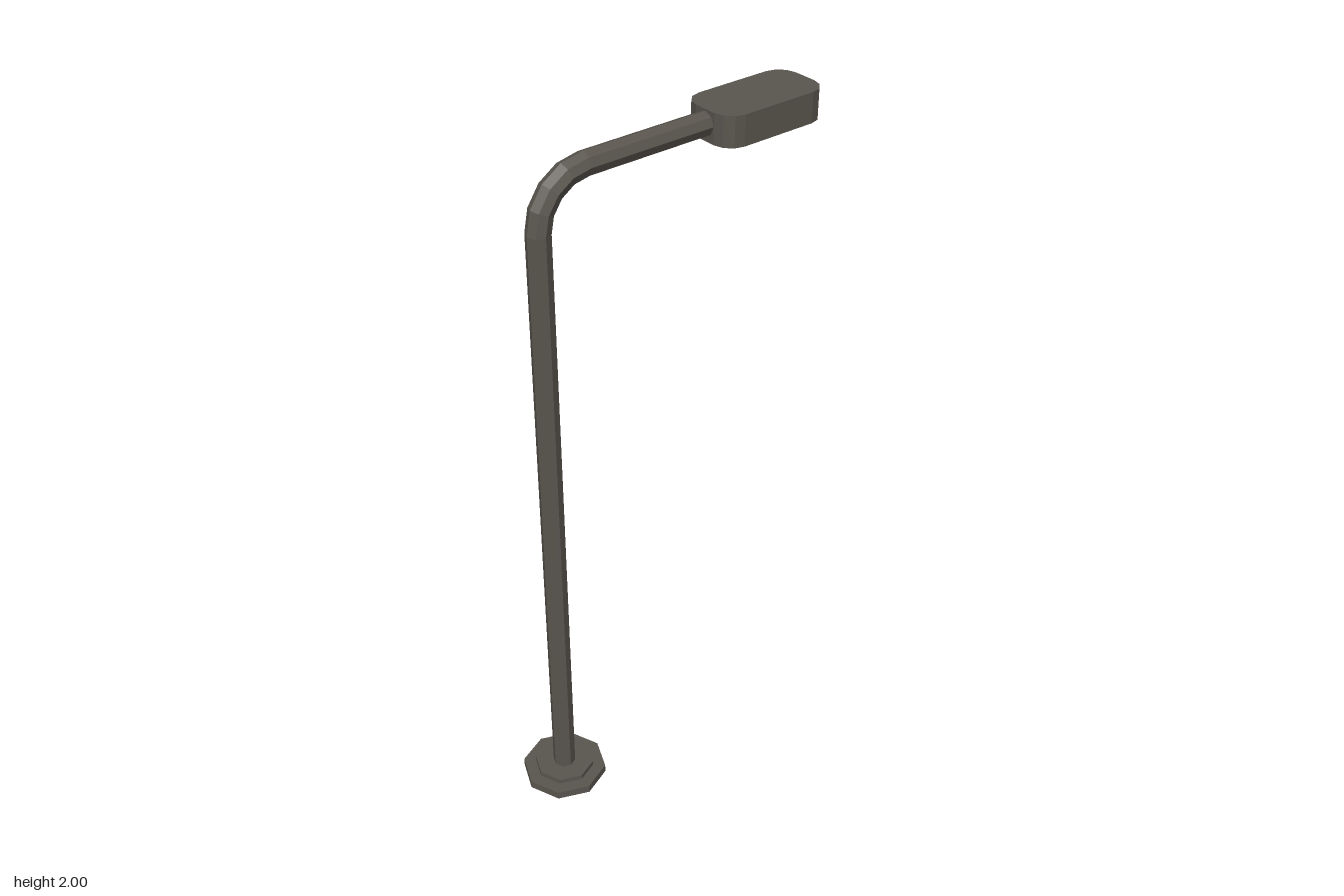
import * as THREE from 'three';

const metal = new THREE.MeshStandardMaterial({ color: 0x5a564f, flatShading: true });
const glow = new THREE.MeshStandardMaterial({ color: 0xe6d878, flatShading: true });

const POLE_Z = 0.365, POLE_R = 0.033, BEND_R = 0.14, ARM_Y = 1.962;

export function createModel() {
  const group = new THREE.Group();
  const add = (name, geometry, material = metal) => {
    const mesh = new THREE.Mesh(geometry, material);
    mesh.name = name;
    group.add(mesh);
    return mesh;
  };
  // Eight-sided upright post from y0 to y1
  const post = (name, r, y0, y1) =>
    add(name, new THREE.CylinderGeometry(r, r, y1 - y0, 8)).position.set(0, (y0 + y1) / 2, POLE_Z);

  // Stepped foot and pole
  post('basePlate', 0.125, 0, 0.025);
  post('baseCollar', 0.088, 0.025, 0.04);
  post('pole', POLE_R, 0.04, ARM_Y - BEND_R);

  // Quarter bend from the pole into the arm
  const bend = add('bend', new THREE.TorusGeometry(BEND_R, POLE_R, 8, 4, Math.PI / 2));
  bend.rotation.y = -Math.PI / 2;
  bend.position.set(0, ARM_Y - BEND_R, POLE_Z - BEND_R);

  // Horizontal arm reaching into the lamp head
  const armFront = POLE_Z - BEND_R, armBack = -0.2;
  const arm = add('arm', new THREE.CylinderGeometry(POLE_R, POLE_R, armFront - armBack, 8));
  arm.rotation.x = Math.PI / 2;
  arm.position.set(0, ARM_Y, (armFront + armBack) / 2);

  // Lamp head and its glowing panel
  const HEAD_Z = -0.322;
  const head = add('lampHead', roundedSlab(0.18, 0.34, 0.055, 0.085, 0));
  head.position.set(0, 1.915, HEAD_Z);
  const panel = add('lightPanel', roundedSlab(0.13, 0.29, 0.04, 0.02, 0.008), glow);
  panel.position.set(0, 1.902, HEAD_Z);

  return group;
}

// Flat slab with rounded corners, rising from y = 0, edges optionally bevelled
function roundedSlab(width, length, radius, height, bevel) {
  const x = width / 2 - bevel, y = length / 2 - bevel, r = radius - bevel;
  const shape = new THREE.Shape();
  const corners = [[1, 1], [-1, 1], [-1, -1], [1, -1]];
  corners.forEach(([sx, sy], i) => {
    for (let k = 0; k <= 3; k++) {
      const a = (i + k / 3) * Math.PI / 2;
      const px = sx * (x - r) + r * Math.cos(a), py = sy * (y - r) + r * Math.sin(a);
      if (i + k === 0) shape.moveTo(px, py);
      else shape.lineTo(px, py);
    }
  });
  shape.closePath();
  const geometry = new THREE.ExtrudeGeometry(shape, {
    depth: height - 2 * bevel, bevelEnabled: bevel > 0,
    bevelSize: bevel, bevelThickness: bevel, bevelSegments: 1,
  });
  return geometry.translate(0, 0, bevel).rotateX(-Math.PI / 2);
}
